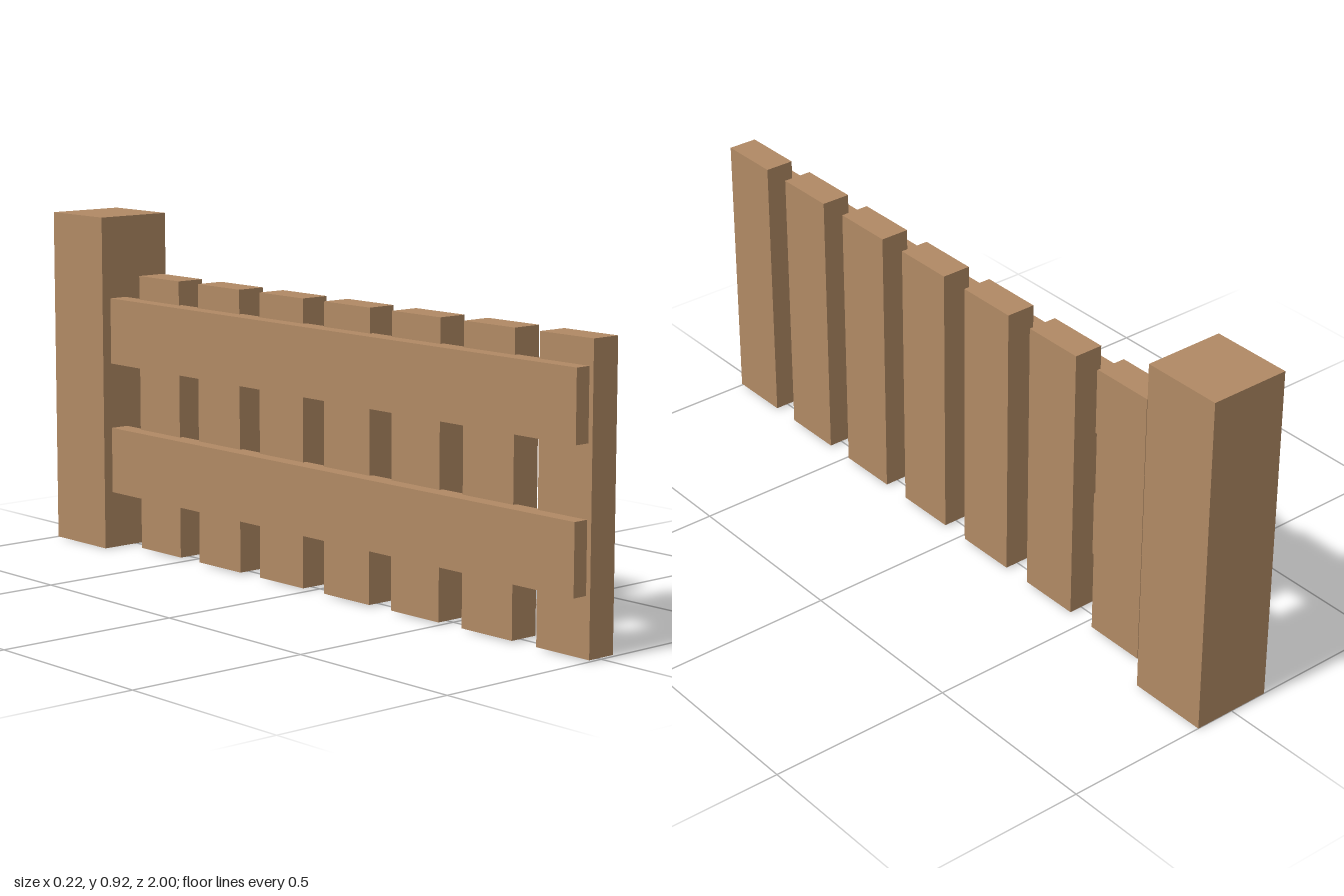
import * as THREE from 'three';

export function createModel() {
  const group = new THREE.Group();
  group.name = 'picketFence';
  const wood = new THREE.MeshStandardMaterial({ color: 0xb08964 });
  wood.name = 'wood';

  // Box given by its lower and upper bounds on each axis
  function board(name, [x0, x1], [y0, y1], [z0, z1]) {
    const mesh = new THREE.Mesh(new THREE.BoxGeometry(x1 - x0, y1 - y0, z1 - z0), wood);
    mesh.position.set((x0 + x1) / 2, (y0 + y1) / 2, (z0 + z1) / 2);
    mesh.name = name;
    group.add(mesh);
  }

  // End post
  board('post', [-0.11, 0.11], [0, 0.922], [-1, -0.779]);

  // Two rails behind the pickets, running into the post
  for (const [name, y] of [['lowerRail', 0.156], ['upperRail', 0.517]]) {
    board(name, [-0.083, -0.03], [y, y + 0.181], [-0.82, 0.987]);
  }

  // Seven evenly spaced pickets
  for (let i = 0; i < 7; i++) {
    const z = 1 - i * 0.255;
    board(`picket${i + 1}`, [-0.041, 0.04], [0.004, 0.763], [z - 0.173, z]);
  }
  return group;
}
